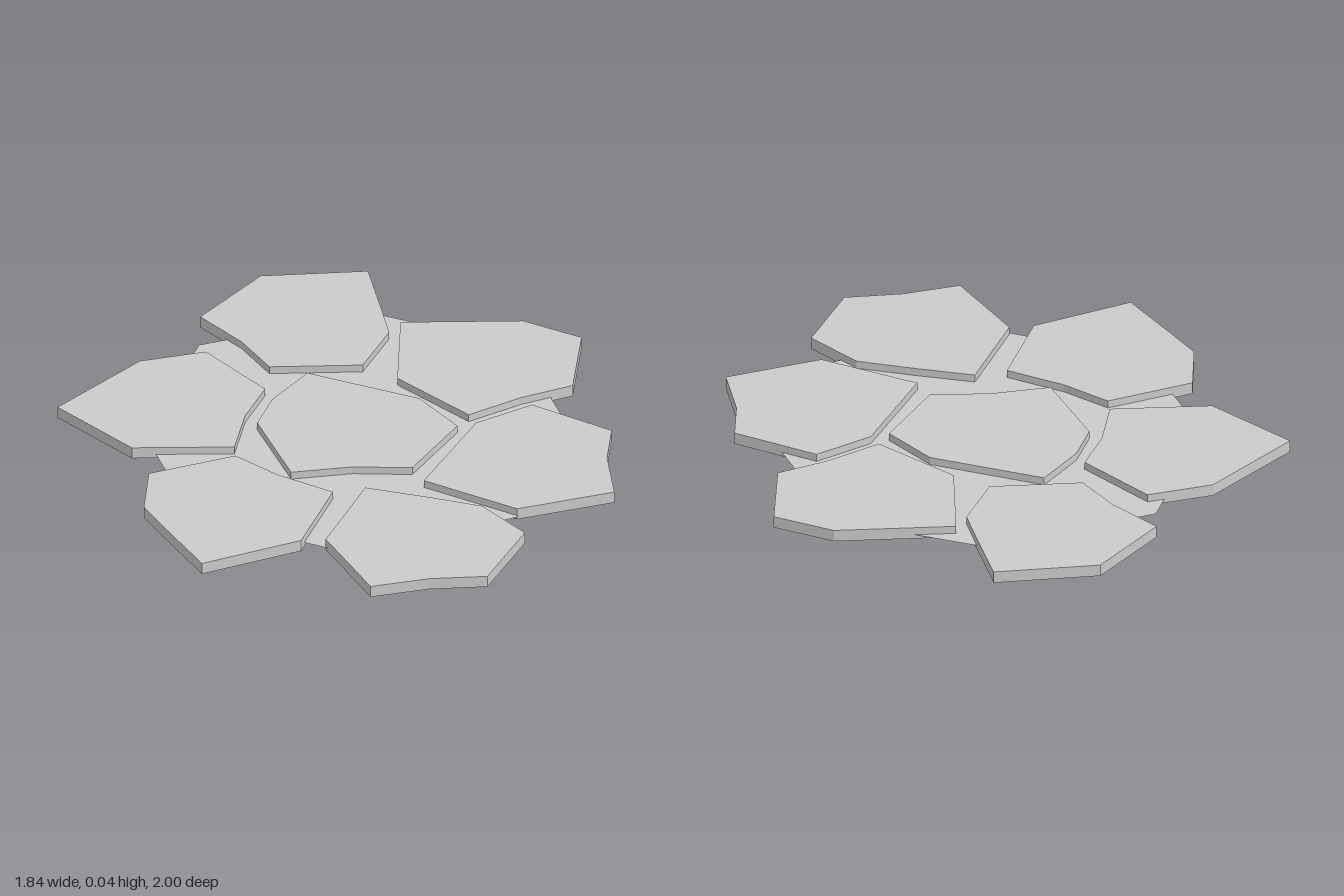
import * as THREE from 'three';

const THICKNESS = 0.04;
const BED_HEIGHT = 0.014;

// Plan outlines as [x, z] corners
const stones = {
  centreStone: [[-0.11, -0.35], [0.26, -0.2], [0.39, -0.03], [0.25, 0.24], [0.055, 0.24], [-0.145, 0.28], [-0.265, -0.03], [-0.22, -0.18]],
  backStone: [[-0.28, -0.96], [0.07, -1], [0.12, -0.765], [0.15, -0.615], [0.07, -0.405], [-0.235, -0.385], [-0.33, -0.54], [-0.47, -0.695]],
  backLeftStone: [[0.185, -0.68], [0.585, -0.7], [0.78, -0.6], [0.76, -0.295], [0.595, -0.215], [0.425, -0.1], [0.185, -0.325]],
  leftStone: [[0.63, -0.17], [0.895, -0.015], [0.885, 0.16], [0.915, 0.375], [0.6, 0.49], [0.29, 0.32], [0.45, -0.05]],
  frontLeftStone: [[0.1, 0.37], [0.295, 0.42], [0.485, 0.475], [0.63, 0.64], [0.515, 0.92], [0.325, 0.94], [0.135, 0.995], [-0.02, 0.7]],
  frontRightStone: [[-0.33, 0.18], [-0.19, 0.295], [-0.005, 0.4], [-0.1, 0.71], [-0.42, 0.865], [-0.53, 0.675], [-0.62, 0.515], [-0.61, 0.3]],
  rightStone: [[-0.445, -0.475], [-0.245, -0.245], [-0.305, -0.075], [-0.335, 0.125], [-0.67, 0.14], [-0.92, -0.11], [-0.66, -0.41]],
};
const bed = [[0.085, -0.78], [0.578, -0.585], [0.785, 0.02], [0.6, 0.5], [0.087, 0.756], [-0.455, 0.523], [-0.64, 0], [-0.47, -0.56]];

const planShape = (corners) => new THREE.Shape(corners.map(([x, z]) => new THREE.Vector2(x, -z)));

export function createModel() {
  const group = new THREE.Group();
  group.name = 'flagstonePaving';

  // Flat-topped paving slabs
  const stoneMaterial = new THREE.MeshStandardMaterial({ color: 0xcccccc, flatShading: true });
  for (const [name, corners] of Object.entries(stones)) {
    const geometry = new THREE.ExtrudeGeometry(planShape(corners), { depth: THICKNESS, bevelEnabled: false });
    geometry.rotateX(-Math.PI / 2);
    const stone = new THREE.Mesh(geometry, stoneMaterial);
    stone.name = name;
    group.add(stone);
  }

  // Thin octagonal bed seen in the gaps between the slabs
  const bedGeometry = new THREE.ShapeGeometry(planShape(bed));
  bedGeometry.rotateX(-Math.PI / 2);
  const bedMesh = new THREE.Mesh(bedGeometry, new THREE.MeshStandardMaterial({ color: 0xcccccc, side: THREE.DoubleSide }));
  bedMesh.name = 'groundBed';
  bedMesh.position.y = BED_HEIGHT;
  group.add(bedMesh);

  return group;
}
